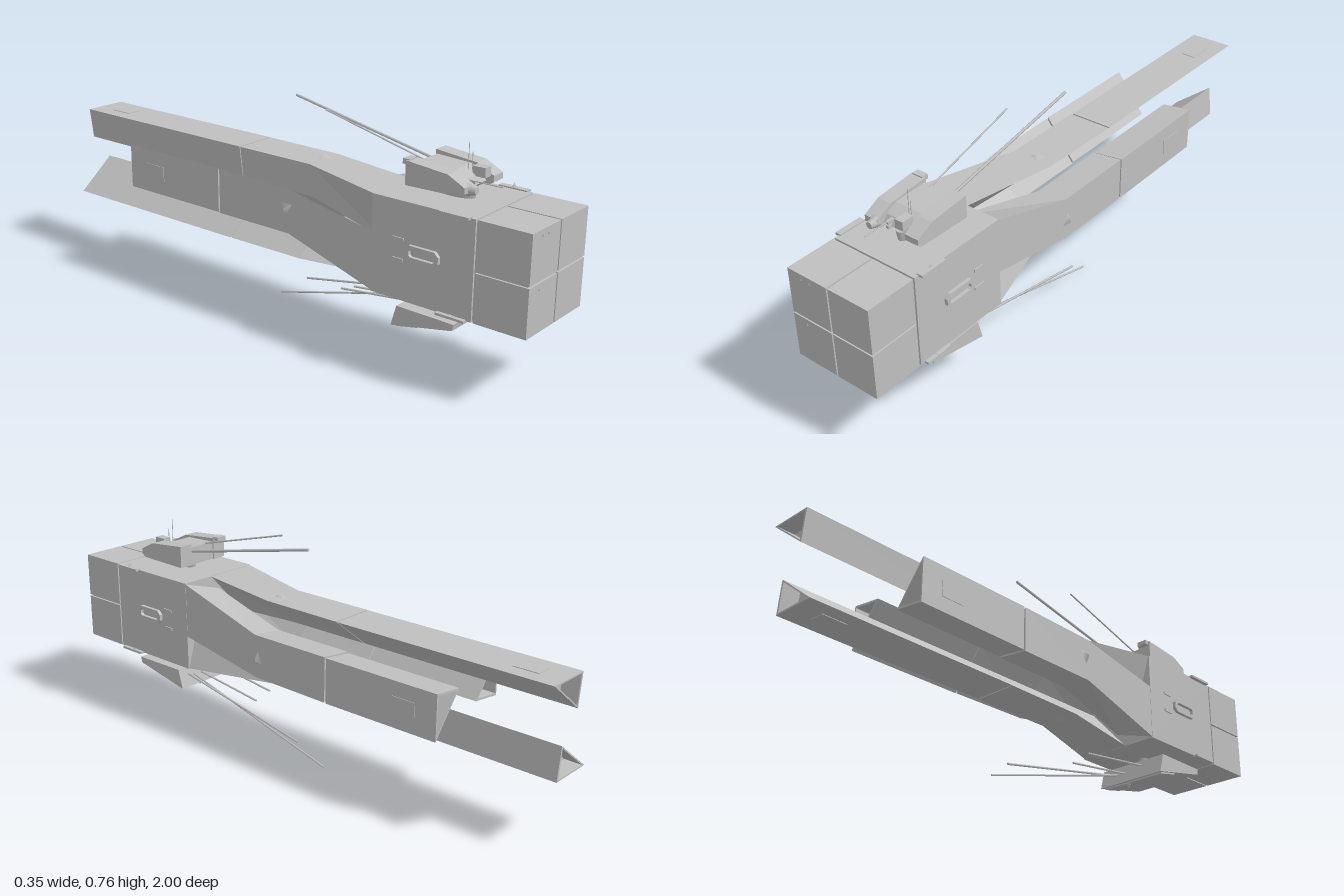
import * as THREE from 'three';

const hullGrey = new THREE.MeshStandardMaterial({ color: 0xbfbfbf });
hullGrey.name = 'hull grey';
const CY = 0.402, R = 0.16;

export function createModel() {
  const root = new THREE.Group();
  root.name = 'spaceStation';

  const add = (name, geo, parent = root) => {
    const m = new THREE.Mesh(geo, hullGrey);
    m.name = name;
    parent.add(m);
    return m;
  };
  // box given by its limits on each axis
  const box = (name, x0, x1, y0, y1, z0, z1, parent) => add(name,
    new THREE.BoxGeometry(x1 - x0, y1 - y0, z1 - z0)
      .translate((x0 + x1) / 2, (y0 + y1) / 2, (z0 + z1) / 2), parent);
  // straight rod between two points
  const rod = (name, a, b, r, parent) => {
    const p = new THREE.Vector3(...a), q = new THREE.Vector3(...b), d = q.clone().sub(p);
    const m = add(name, new THREE.CylinderGeometry(r, r, d.length(), 6), parent);
    m.position.copy(p).add(q).multiplyScalar(0.5);
    m.quaternion.setFromUnitVectors(new THREE.Vector3(0, 1, 0), d.normalize());
  };
  // side profile of [z, y] points extruded across x
  const slab = (name, pts, x0, x1, parent) => {
    const shape = new THREE.Shape(pts.map(p => new THREE.Vector2(...p)));
    add(name, new THREE.ExtrudeGeometry(shape, { depth: x1 - x0, bevelEnabled: false })
      .rotateY(-Math.PI / 2).translate(x1, 0, 0), parent);
  };
  // loft through triangular sections, front to back, with closed ends
  const loft = (name, sections, parent) => {
    const v = [];
    const tri = (...p) => p.forEach(q => v.push(...q));
    for (let i = 0; i + 1 < sections.length; i++) {
      const s = sections[i], t = sections[i + 1];
      for (let j = 0; j < 3; j++) {
        const k = (j + 1) % 3;
        tri(s[j], s[k], t[k]);
        tri(s[j], t[k], t[j]);
      }
    }
    const f = sections[0], e = sections[sections.length - 1];
    tri(f[0], f[2], f[1]);
    tri(e[0], e[1], e[2]);
    const g = new THREE.BufferGeometry();
    g.setAttribute('position', new THREE.Float32BufferAttribute(v, 3));
    g.computeVertexNormals();
    add(name, g, parent);
  };
  // small three-sided spike
  const spike = (name, pos, r, h, rot, parent) => {
    const m = add(name, new THREE.ConeGeometry(r, h, 3), parent);
    m.position.set(...pos);
    m.rotation.set(...rot);
  };

  // Main block: midsection, core behind the seams, four nose blocks
  box('midsection', -R, R, CY - R, CY + R, 0.45, 0.817);
  box('noseCore', -0.153, 0.153, CY - 0.153, CY + 0.153, 0.8, 0.992);
  for (const sx of [-1, 1]) for (const sy of [-1, 1]) {
    const b = box('noseBlock', 0.003, R, 0.003, R, 0.823, 1);
    b.geometry.scale(1, 1, 1);
    b.position.set(sx < 0 ? -R - 0.003 : 0, CY + (sy < 0 ? -R - 0.003 : 0), 0);
  }

  // Four pinwheel prongs, each a triangular beam with its ridge turned inward
  const sec = (z, a, b, c, depth) => [[a, R - 0.001, z], [b, R - 0.001, z], [c, R - depth, z]];
  const inset = (s, z) => {
    const mid = [0, 1].map(i => (s[0][i] + s[1][i] + s[2][i]) / 3);
    return s.map(p => [mid[0] + (p[0] - mid[0]) * 0.86, mid[1] + (p[1] - mid[1]) * 0.86, z]);
  };
  ['top', 'left', 'bottom', 'right'].forEach((side, k) => {
    const g = new THREE.Group();
    g.name = side + 'Prong';
    g.position.y = CY;
    g.rotation.z = -k * Math.PI / 2;
    root.add(g);
    const end = k % 2 ? -0.645 : -1;
    loft('prongRoot', [sec(0.46, -0.16, 0.035, -0.11, 0.16), sec(0.11, -0.053, 0.1, -0.04, 0.115),
      sec(-0.2, -0.053, 0.105, -0.04, 0.115)], g);
    const tail = sec(end, -0.051, 0.106, -0.037, 0.113);
    loft('prongBeam', [sec(-0.206, -0.051, 0.106, -0.037, 0.113), tail,
      inset(tail, end), inset(tail, end + 0.06)], g);
    box('prongHatch', 0.0, 0.055, R - 0.003, R + 0.001, end + 0.08, end + 0.17, g);
    spike('prongFin', [0.035, R + 0.006, 0.1], 0.03, 0.016, [0, 0.5, 0], g);
  });

  // Details on both flanks: handle frame, slots and edge rails
  for (const s of [-1, 1]) {
    const handle = new THREE.Shape();
    const outline = (w, h, c) => [[-w + c, -h], [w - c, -h], [w, -h + c], [w, h - c],
      [w - c, h], [-w + c, h], [-w, h - c], [-w, -h + c]].map(p => new THREE.Vector2(...p));
    handle.setFromPoints(outline(0.06, 0.025, 0.014));
    handle.holes.push(new THREE.Path(outline(0.046, 0.012, 0.006)));
    const m = add('sideHandle', new THREE.ExtrudeGeometry(handle, { depth: 0.012, bevelEnabled: false }));
    m.rotation.y = s * Math.PI / 2;
    m.position.set(s * R, CY + 0.005, 0.642);
    for (const y of [0.44, 0.373])
      box('sideSlot', s * R - 0.004, s * R + 0.004, y - 0.005, y + 0.005, 0.53, 0.57);
    for (const y of [CY + R, CY - R])
      box('edgeRail', s * 0.163 - 0.011, s * 0.163 + 0.011, y - 0.004, y + 0.004, 0.7, 0.8);
  }
  for (const [x, y] of [[-0.105, 0.543], [-0.072, 0.543], [-0.105, 0.38]])
    spike('noseSpike', [x, y, 1], 0.011, 0.008, [Math.PI / 2, x * 8, 0]);
  spike('cornerSpike', [0.161, 0.571, 0.75], 0.012, 0.022, [0, 0, 0]);
  for (const s of [-1, 1])
    spike('cornerSpike', [s * 0.163, 0.239, 0.75], 0.012, 0.016, [Math.PI, 0, 0]);

  // Upper turret
  const upper = new THREE.Group();
  upper.name = 'upperTurret';
  root.add(upper);
  const neck = (name, r0, r1, y0, y1, parent) => add(name,
    new THREE.CylinderGeometry(r1, r0, y1 - y0, 16).scale(0.42, 1, 1)
      .translate(0, (y0 + y1) / 2, 0.645), parent);
  neck('neck', 0.066, 0.072, 0.555, 0.595, upper);
  slab('turretBody', [[0.535, 0.591], [0.7, 0.591], [0.715, 0.605], [0.7, 0.63], [0.66, 0.65], [0.535, 0.655]],
    -0.06, 0.06, upper);
  for (const s of [-1, 1]) {
    const x = s * 0.08;
    slab('turretCheek', [[0.53, 0.591], [0.725, 0.595], [0.74, 0.605], [0.74, 0.625], [0.68, 0.655], [0.53, 0.669]],
      x - 0.026, x + 0.026, upper);
  }
  const dome = add('sensorBall', new THREE.CylinderGeometry(0.012, 0.021, 0.03, 7).rotateX(Math.PI / 2), upper);
  dome.position.set(-0.07, 0.612, 0.745);
  box('sensorBox', 0.013, 0.044, 0.626, 0.657, 0.69, 0.735, upper);
  box('roofBox', -0.1, -0.06, 0.655, 0.672, 0.515, 0.54, upper);
  for (const y of [0.607, 0.622]) box('frontLamp', -0.032, -0.022, y - 0.005, y + 0.005, 0.7, 0.728, upper);
  rod('longBarrel', [0.045, 0.635, 0.56], [0.047, 0.753, -0.03], 0.005, upper);
  rod('shortBarrel', [-0.023, 0.65, 0.56], [-0.036, 0.75, 0.165], 0.003, upper);
  rod('antenna', [0.013, 0.64, 0.675], [0.013, 0.728, 0.675], 0.0012, upper);
  rod('antenna', [0.027, 0.64, 0.68], [0.027, 0.695, 0.68], 0.0012, upper);
  rod('frontProbe', [-0.027, 0.625, 0.7], [-0.027, 0.625, 0.82], 0.002, upper);

  // Lower turret
  const lower = new THREE.Group();
  lower.name = 'lowerTurret';
  root.add(lower);
  neck('neck', 0.05, 0.062, 0.2, 0.248, lower);
  slab('turretBody', [[0.515, 0.138], [0.74, 0.184], [0.745, 0.206], [0.535, 0.208]], -0.139, 0.136, lower);
  slab('bellyPlate', [[0.53, 0.135], [0.61, 0.152], [0.61, 0.17], [0.53, 0.17]], -0.13, 0.127, lower);
  spike('bellySpike', [0.027, 0.13, 0.54], 0.014, 0.026, [Math.PI, 0, 0], lower);
  rod('longBarrel', [0.068, 0.18, 0.54], [0.068, 0.005, -0.12], 0.0035, lower);
  rod('longBarrel', [0.093, 0.185, 0.54], [0.093, 0.078, -0.02], 0.004, lower);
  rod('shortBarrel', [-0.04, 0.19, 0.54], [-0.04, 0.153, 0.24], 0.004, lower);
  rod('shortBarrel', [0.03, 0.175, 0.54], [0.03, 0.137, 0.24], 0.004, lower);

  return root;
}
